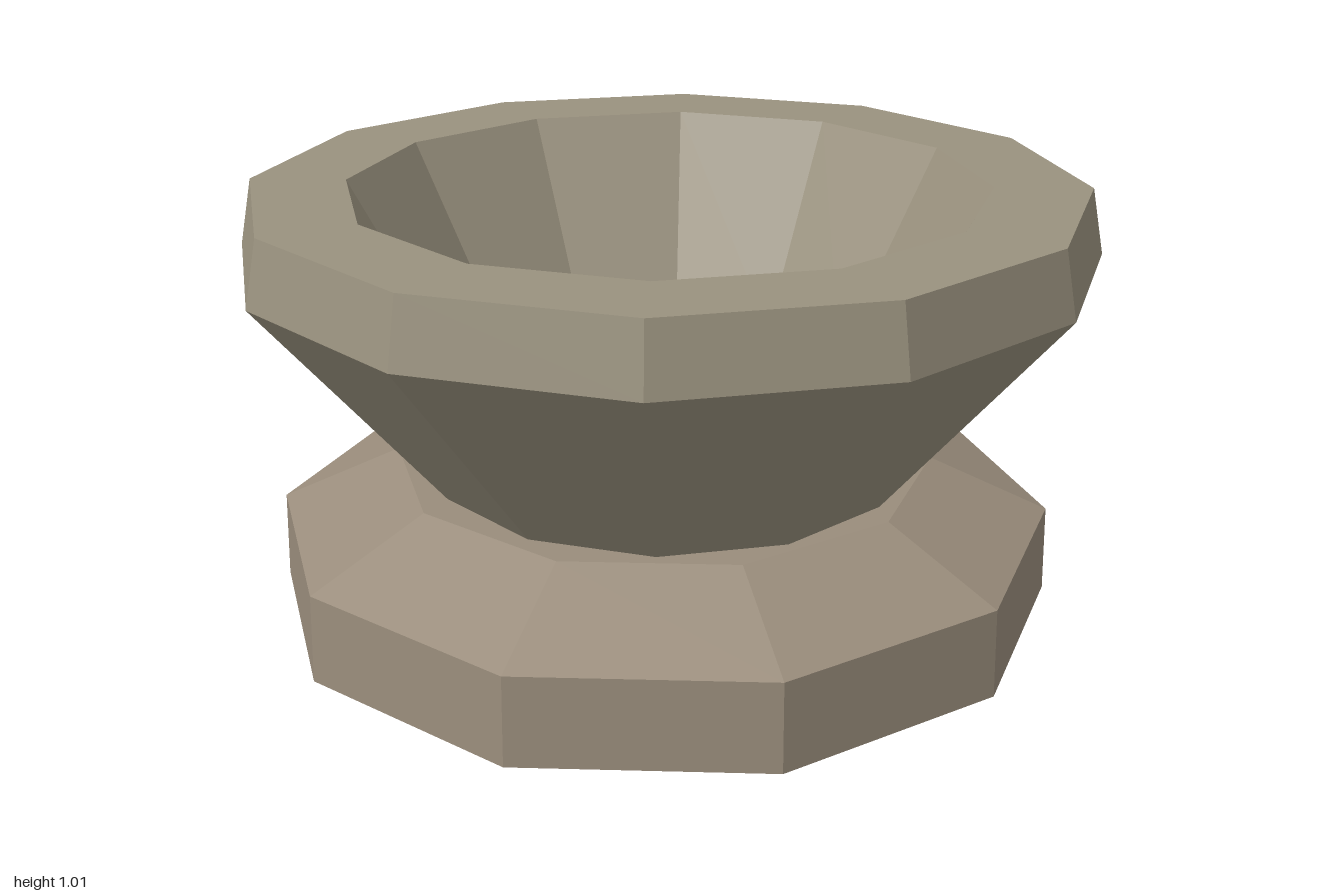
import * as THREE from 'three';

const stone = (color) => new THREE.MeshStandardMaterial({ color, flatShading: true });

// Faceted turned solid from a [radius, height] profile
function turned(name, profile, sides, start, material) {
  const points = profile.map(([r, y]) => new THREE.Vector2(r, y));
  const mesh = new THREE.Mesh(new THREE.LatheGeometry(points, sides, start), material);
  mesh.name = name;
  return mesh;
}

// Lumpy low-poly pellet, tapered towards one end
function pelletGeometry() {
  const geometry = new THREE.IcosahedronGeometry(1, 1);
  const p = geometry.attributes.position;
  for (let i = 0; i < p.count; i++) {
    const x = p.getX(i), y = p.getY(i), z = p.getZ(i);
    const taper = 1 - 0.12 * x;
    const lump = 1 + 0.06 * Math.sin(5 * x + 3 * z);
    p.setXYZ(i, x * 0.09, y * 0.04 * taper * lump, (z * taper * lump - 0.15 * x) * 0.052);
  }
  geometry.computeVertexNormals();
  return geometry;
}

export function createModel() {
  const model = new THREE.Group();
  model.name = 'stoneBowl';

  // Ten-sided foot with a sloped shoulder, set slightly off centre
  const base = turned('base',
    [[0, 0], [0.935, 0], [0.93, 0.21], [0.645, 0.34], [0, 0.34]],
    10, Math.PI / 2, stone(0x9a8d7c));
  base.position.set(-0.013, 0, -0.014);
  model.add(base);

  // Twelve-sided flared bowl with a thick rim and a flat floor
  model.add(turned('bowl',
    [[0, 0.335], [0.565, 0.335], [1, 0.86], [0.97, 1.015], [0.745, 1.015], [0.48, 0.525], [0, 0.525]],
    12, 0, stone(0x9a927f)));

  // Pellets lying on the bowl floor
  const geometry = pelletGeometry();
  const material = stone(0x75604f);
  for (const [x, z] of [[-0.19, 0], [-0.005, -0.085], [0.175, -0.092]]) {
    const pellet = new THREE.Mesh(geometry, material);
    pellet.name = 'pellet';
    pellet.position.set(x, 0.56, z);
    model.add(pellet);
  }
  return model;
}
